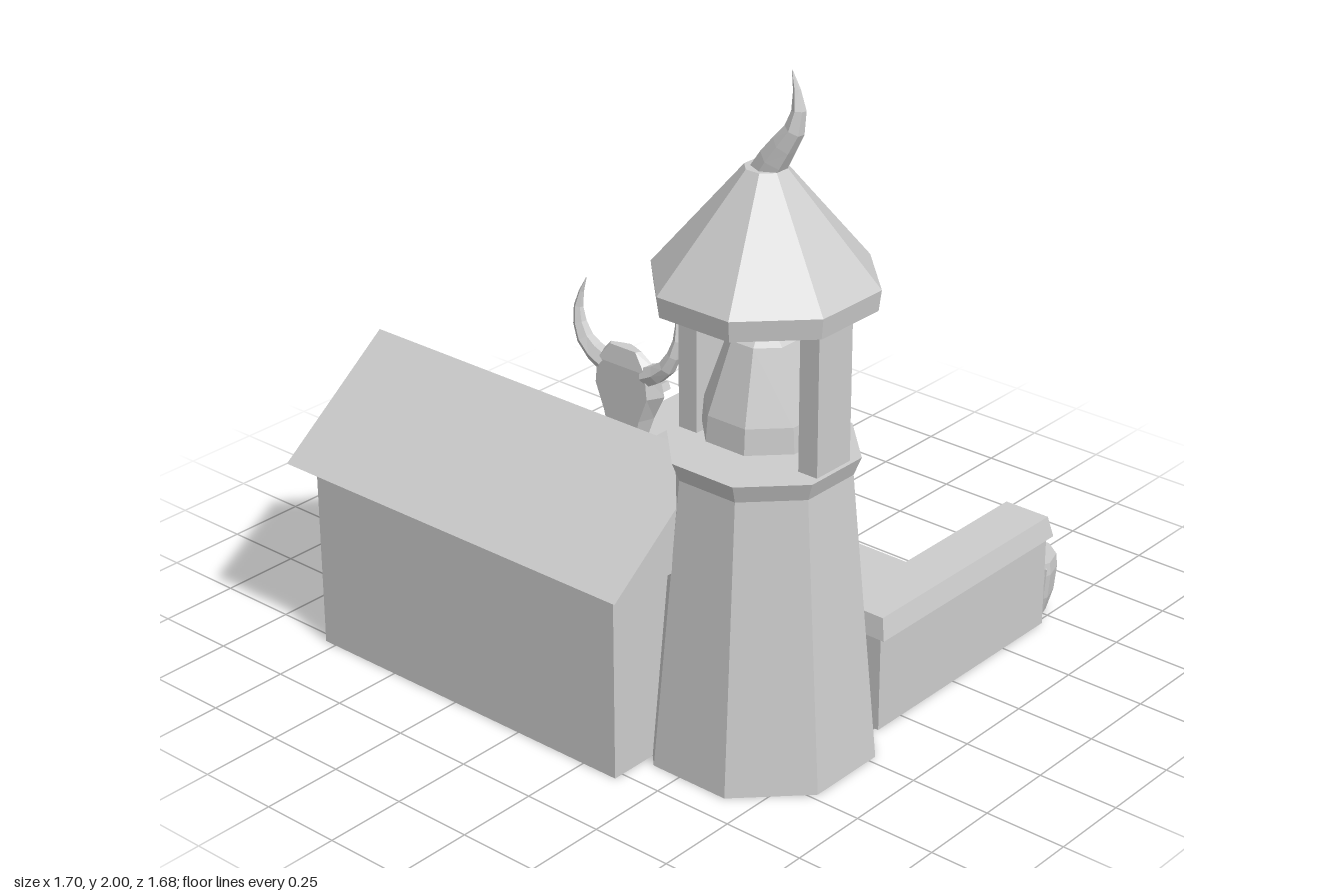
import * as THREE from 'three';

const stone = new THREE.MeshStandardMaterial({ color: 0xcccccc, flatShading: true, side: THREE.DoubleSide });
stone.name = 'paleStone';

function add(parent, name, geometry, x = 0, y = 0, z = 0) {
  const mesh = new THREE.Mesh(geometry, stone);
  mesh.name = name;
  mesh.position.set(x, y, z);
  parent.add(mesh);
  return mesh;
}

// Block given by its limits; the top can be drawn in, the bottom left open
function block(parent, name, [x0, x1], [y0, y1], [z0, z1], { inX = 0, inZ = 0, open = false } = {}) {
  const g = new THREE.BoxGeometry(x1 - x0, y1 - y0, z1 - z0);
  const p = g.attributes.position;
  for (let i = 0; i < p.count; i++) {
    if (p.getY(i) < 0) continue;
    p.setX(i, p.getX(i) - Math.sign(p.getX(i)) * inX);
    p.setZ(i, p.getZ(i) - Math.sign(p.getZ(i)) * inZ);
  }
  if (open) {
    const index = Array.from(g.index.array);
    index.splice(18, 6);
    g.setIndex(index);
    g.clearGroups();
  }
  return add(parent, name, g, (x0 + x1) / 2, (y0 + y1) / 2, (z0 + z1) / 2);
}

// Faceted turned shape with flats facing the axes; profile is [apothem, y]
function turned(parent, name, sides, profile, x, z) {
  const k = 1 / Math.cos(Math.PI / sides);
  const pts = profile.map(([r, y]) => new THREE.Vector2(r * k, y));
  return add(parent, name, new THREE.LatheGeometry(pts, sides, Math.PI / sides), x, 0, z);
}

// Tapered horn along a curve
function horn(parent, name, points, radius) {
  const curve = new THREE.CatmullRomCurve3(points.map(p => new THREE.Vector3(...p)));
  const rows = 6, sides = 6;
  const g = new THREE.TubeGeometry(curve, rows, radius, sides);
  const p = g.attributes.position, v = new THREE.Vector3();
  for (let i = 0; i <= rows; i++) {
    const c = curve.getPointAt(i / rows);
    const s = Math.max(0.02, 1 - Math.pow(i / rows, 1.4));
    for (let j = 0; j <= sides; j++) {
      const n = i * (sides + 1) + j;
      v.fromBufferAttribute(p, n).sub(c).multiplyScalar(s).add(c);
      p.setXYZ(n, v.x, v.y, v.z);
    }
  }
  return add(parent, name, g);
}

// Closed loft through loops of equal length
function loft(loops) {
  const n = loops[0].length, index = [];
  for (let i = 0; i < loops.length - 1; i++) {
    for (let j = 0; j < n; j++) {
      const a = i * n + j, b = i * n + (j + 1) % n;
      index.push(a, b, a + n, b, b + n, a + n);
    }
  }
  const last = (loops.length - 1) * n;
  for (let j = 1; j < n - 1; j++) index.push(0, j + 1, j, last, last + j, last + j + 1);
  const g = new THREE.BufferGeometry();
  g.setAttribute('position', new THREE.Float32BufferAttribute(loops.flat(2), 3));
  g.setIndex(index);
  g.computeVertexNormals();
  return g;
}

function buildHouse(root) {
  const house = new THREE.Group();
  house.name = 'house';
  root.add(house);
  block(house, 'houseWalls', [-0.79, 0.37], [0, 0.61], [0.12, 0.78], { open: true });
  // Gabled roof prism
  const gable = new THREE.Shape([
    new THREE.Vector2(-0.84, 0.595), new THREE.Vector2(-0.06, 0.595), new THREE.Vector2(-0.45, 0.89),
  ]);
  const g = new THREE.ExtrudeGeometry(gable, { depth: 1.28, bevelEnabled: false });
  g.rotateY(Math.PI / 2);
  add(house, 'gableRoof', g, -0.85);
  // Door frame on the courtyard side
  block(house, 'doorLintel', [-0.595, -0.195], [0.45, 0.515], [-0.048, 0.13], { inX: 0.008, inZ: 0.006 });
  for (const x of [-0.575, -0.285]) block(house, 'doorPost', [x, x + 0.07], [0, 0.45], [-0.035, 0.13]);
}

function buildTower(root) {
  const tower = new THREE.Group();
  tower.name = 'bellTower';
  root.add(tower);
  const x = 0.535, z = 0.35;
  turned(tower, 'towerShaft', 8, [[0.31, 0], [0.235, 0.87], [0.255, 0.925], [0, 0.925]], x, z);
  for (const s of [-1, 1]) {
    block(tower, 'belfryPost', [x + s * 0.21 - 0.032, x + s * 0.21 + 0.032], [0.925, 1.39], [z - 0.07, z + 0.07]);
  }
  turned(tower, 'bell', 8, [[0.162, 0.97], [0.156, 1.045], [0.092, 1.25], [0.055, 1.28], [0, 1.28]], x, z);
  turned(tower, 'bellHanger', 8, [[0.04, 1.27], [0.04, 1.4], [0, 1.4]], x, z);
  turned(tower, 'towerRoof', 8, [[0.288, 1.36], [0.295, 1.42], [0.055, 1.73], [0, 1.73]], x, z);
  horn(tower, 'roofHorn', [[0.535, 1.71, 0.35], [0.57, 1.77, 0.348], [0.625, 1.86, 0.338],
    [0.625, 1.92, 0.33], [0.594, 2, 0.32]], 0.046);
}

function buildCourtyard(root) {
  const yard = new THREE.Group();
  yard.name = 'courtyard';
  root.add(yard);
  block(yard, 'yardFloor', [-0.48, 0.61], [0, 0.045], [-0.695, 0.14], { inZ: 0.022, open: true });
  // Side walls with capstones
  for (const [x0, x1, z1] of [[-0.64, -0.46, 0.13], [0.6, 0.78, 0.11]]) {
    const shift = x0 > 0 ? -0.012 : 0;
    block(yard, 'sideWall', [x0 + 0.015 + shift, x1 - 0.015], [0, 0.3], [-0.7, z1 - 0.005], { open: true });
    block(yard, 'wallCap', [x0, x1], [0.295, 0.36], [-0.715, z1], { inX: 0.015, inZ: 0.012 });
  }
  // Barrels at the wall ends, with slim wedges around them
  for (const x of [-0.525, 0.655]) {
    const z = -0.735;
    turned(yard, 'barrel', 10, [[0, 0], [0.078, 0], [0.097, 0.07], [0.104, 0.15], [0.1, 0.19], [0, 0.19]], x, z);
    for (let i = 0; i < 6; i++) {
      const a = i * Math.PI / 3 + 0.35;
      const w = add(yard, 'barrelWedge', new THREE.ConeGeometry(0.012, 0.13, 4),
        x + Math.sin(a) * 0.098, 0.11, z + Math.cos(a) * 0.098);
      w.rotation.set(Math.PI, -a, 0);
    }
  }
  // Round fire pit
  const px = 0.1, pz = -0.295;
  turned(yard, 'firePit', 10, [[0.158, 0.04], [0.158, 0.115], [0.11, 0.125], [0.12, 0.155],
    [0.185, 0.195], [0.19, 0.22], [0.18, 0.22], [0.176, 0.205], [0, 0.205]], px, pz);
  [[-0.045, -0.025, 0.1, 0.3], [0.05, -0.025, 0.12, 0.8], [0, 0.055, 0.08, 0.5]].forEach(([dx, dz, h, turn]) => {
    const f = add(yard, 'firePitSpike', new THREE.ConeGeometry(0.026, h, 4), px + dx, 0.2 + h / 2, pz + dz);
    f.rotation.y = turn;
  });
}

function buildSkull(root) {
  const skull = new THREE.Group();
  skull.name = 'hornedSkull';
  skull.position.x = -0.21;
  root.add(skull);
  // Rows: height, half width, back z, cheek z, ridge z
  const rows = [[0.51, 0.035, 0.085, 0.07, 0.055], [0.6, 0.06, 0.1, 0.06, 0.02], [0.68, 0.085, 0.1, 0.05, -0.01],
    [0.76, 0.125, 0.1, 0.05, -0.005], [0.84, 0.115, 0.1, 0.06, 0.03], [0.895, 0.06, 0.09, 0.075, 0.06]];
  add(skull, 'skullFace', loft(rows.map(([y, w, b, c, f]) => [
    [w * 0.8, y, b], [w, y, c], [w * 0.35, y, f], [0, y, f - 0.006],
    [-w * 0.35, y, f], [-w, y, c], [-w * 0.8, y, b],
  ])));
  // Nose ridge
  const nose = add(skull, 'noseRidge', new THREE.CylinderGeometry(0.022, 0.03, 0.1, 3), 0, 0.705, -0.012);
  nose.rotation.set(0.08, Math.PI, 0);
  for (const s of [-1, 1]) {
    const brow = add(skull, 'brow', new THREE.BoxGeometry(0.045, 0.025, 0.04), s * 0.07, 0.76, 0.008);
    brow.rotation.z = s * 0.35;
    horn(skull, 'skullHorn', [[s * 0.08, 0.825, 0.075], [s * 0.15, 0.865, 0.078],
      [s * 0.19, 0.94, 0.072], [s * 0.19, 1.0, 0.063], [s * 0.172, 1.06, 0.055]], 0.034);
  }
}

export function createModel() {
  const root = new THREE.Group();
  root.name = 'belfryFarmstead';
  buildHouse(root);
  buildTower(root);
  buildCourtyard(root);
  buildSkull(root);
  return root;
}
